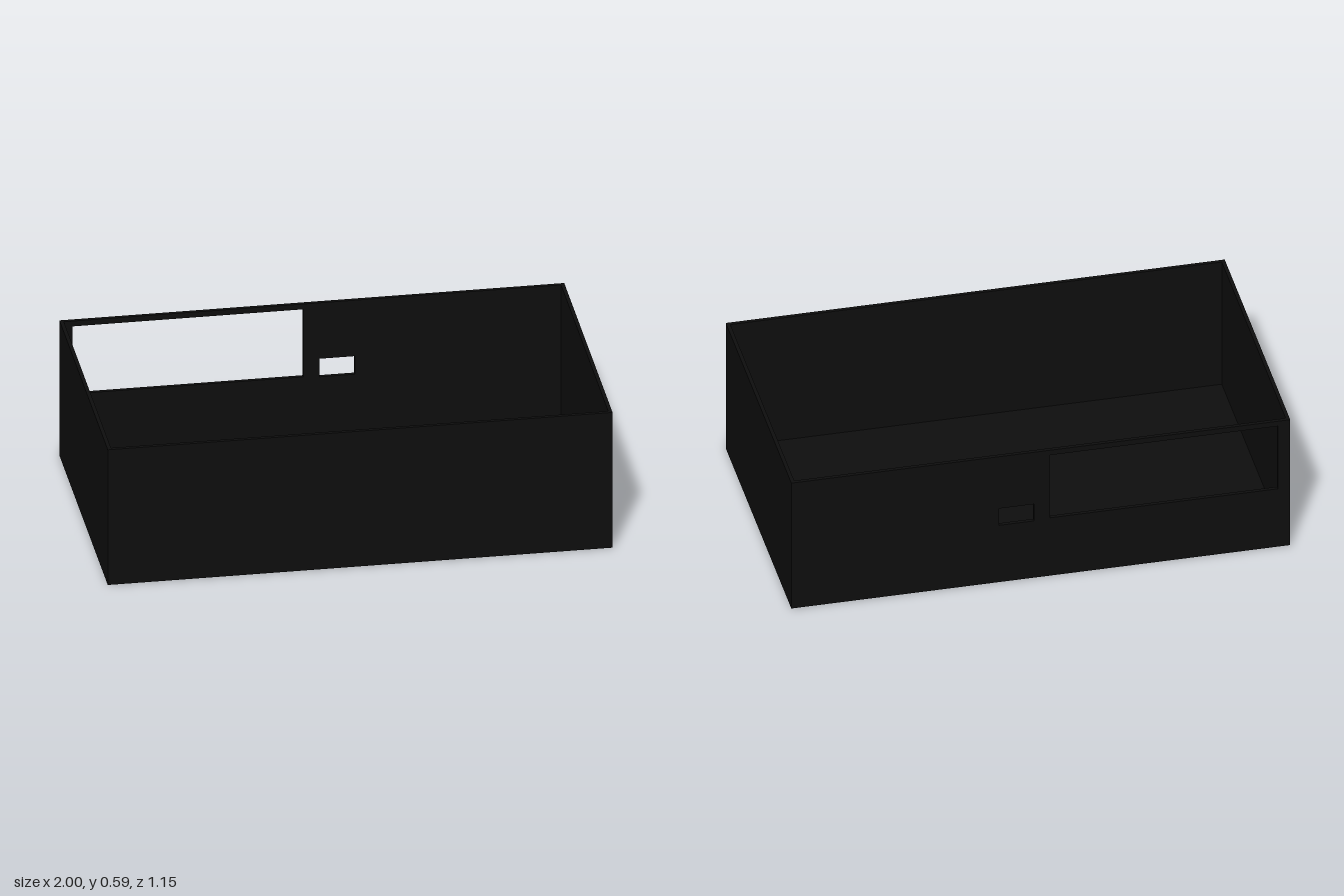
import * as THREE from 'three';

const W = 2, D = 1.152, H = 0.59; // overall size
const T = 0.015; // sheet thickness

function rect(PathType, x0, y0, x1, y1) {
  return new PathType([[x0, y0], [x1, y0], [x1, y1], [x0, y1]].map(([x, y]) => new THREE.Vector2(x, y)));
}

export function createModel() {
  const group = new THREE.Group();
  group.name = 'openEnclosure';
  const black = new THREE.MeshStandardMaterial({ color: 0x0d0d0d });
  black.name = 'black';

  const add = (name, geometry, x, y, z) => {
    const mesh = new THREE.Mesh(geometry, black);
    mesh.name = name;
    mesh.position.set(x, y, z);
    group.add(mesh);
  };

  // Floor and the three plain walls, leaving the top open
  add('floor', new THREE.BoxGeometry(W, T, D), 0, T / 2, 0);
  const wallH = H - T, wallY = T + wallH / 2;
  add('frontWall', new THREE.BoxGeometry(W, wallH, T), 0, wallY, D / 2 - T / 2);
  for (const [name, side] of [['leftWall', 1], ['rightWall', -1]]) {
    add(name, new THREE.BoxGeometry(T, wallH, D - 2 * T), side * (W / 2 - T / 2), wallY, 0);
  }

  // Back wall with a large opening and a small socket cutout
  const back = rect(THREE.Shape, -W / 2, T, W / 2, H);
  back.holes.push(
    rect(THREE.Path, -0.95, 0.272, -0.036, 0.567),
    rect(THREE.Path, 0.027, 0.267, 0.168, 0.346)
  );
  add('backWall', new THREE.ExtrudeGeometry(back, { depth: T, bevelEnabled: false }), 0, 0, -D / 2);

  return group;
}
